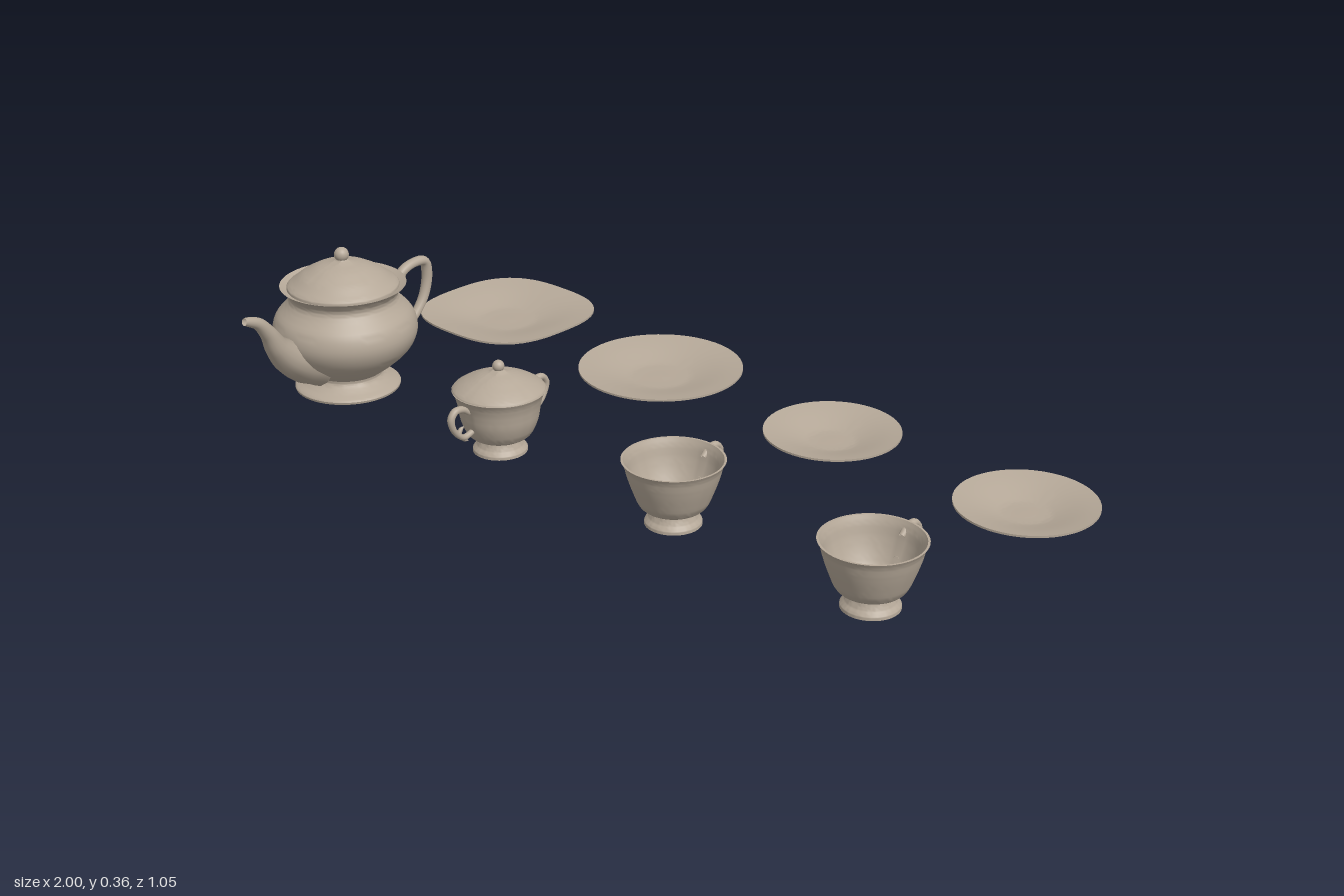
import * as THREE from 'three';
import { toCreasedNormals } from 'three/addons/utils/BufferGeometryUtils.js';

const china = new THREE.MeshStandardMaterial({ color: 0xb5a898, side: THREE.DoubleSide });
china.name = 'warm china';

function part(name, geometry) {
  const mesh = new THREE.Mesh(geometry, china);
  mesh.name = name;
  return mesh;
}

// Turned shape: each section is a smooth curve of [radius, y]; sections meet at sharp edges.
function turned(sections, reshape) {
  const points = [];
  sections.forEach((section, i) => {
    const v = section.map(([r, y]) => new THREE.Vector2(r, y));
    const curve = v.length > 2 ? new THREE.SplineCurve(v).getPoints((v.length - 1) * 4) : v;
    points.push(...(i ? curve.slice(1) : curve));
  });
  points.forEach((p) => { p.x = Math.max(p.x, 0); });
  const geometry = new THREE.LatheGeometry(points, 64);
  if (reshape) reshape(geometry.attributes.position);
  return toCreasedNormals(geometry, 0.6);
}

// Tapered tube in the x = 0 plane through [z, y, radius] points.
function swept(points, width = 1) {
  const curve = new THREE.CatmullRomCurve3(points.map(([z, y]) => new THREE.Vector3(0, y, z)));
  const steps = points.length * 7, sides = 16;
  const geometry = new THREE.TubeGeometry(curve, steps, 1, sides);
  const pos = geometry.attributes.position;
  const v = new THREE.Vector3();
  for (let i = 0; i <= steps; i++) {
    const u = i / steps, centre = curve.getPointAt(u);
    const t = curve.getUtoTmapping(u) * (points.length - 1);
    const k = Math.min(Math.floor(t), points.length - 2);
    const radius = THREE.MathUtils.lerp(points[k][2], points[k + 1][2], t - k);
    for (let j = 0; j <= sides; j++) {
      const n = i * (sides + 1) + j;
      v.fromBufferAttribute(pos, n).sub(centre).multiplyScalar(radius);
      v.x *= width;
      v.add(centre);
      pos.setXYZ(n, v.x, v.y, v.z);
    }
  }
  return geometry;
}

function knob(radius, y) {
  const geometry = new THREE.SphereGeometry(radius, 24, 16);
  geometry.translate(0, y, 0);
  return part('lidKnob', geometry);
}

// Looped handle with a small spur, on the +z or -z side
function smallHandle(side) {
  const group = new THREE.Group();
  group.name = 'handle';
  const loop = [[0.095, 0.128, 0.006], [0.115, 0.142, 0.008], [0.137, 0.144, 0.008], [0.15, 0.128, 0.008],
    [0.145, 0.103, 0.007], [0.13, 0.083, 0.007], [0.112, 0.072, 0.007], [0.08, 0.08, 0.006]];
  const spur = [[0.13, 0.083, 0.007], [0.121, 0.095, 0.005], [0.112, 0.099, 0.001]];
  const tail = [[0.12, 0.076, 0.007], [0.11, 0.066, 0.005], [0.1, 0.06, 0.001]];
  group.add(part('handleLoop', swept(loop, 1.2)), part('handleSpur', swept(spur)), part('handleTail', swept(tail)));
  group.rotation.y = side > 0 ? 0 : Math.PI;
  return group;
}

function teapot() {
  const group = new THREE.Group();
  group.name = 'teapot';
  group.add(part('teapotBody', turned([
    [[0, 0.004], [0.128, 0.004]],
    [[0.128, 0.004], [0.128, 0.012], [0.108, 0.022], [0.089, 0.036], [0.088, 0.047]],
    [[0.088, 0.047], [0.125, 0.075], [0.16, 0.11], [0.176, 0.15], [0.168, 0.19], [0.143, 0.22], [0.132, 0.238], [0.137, 0.255], [0.153, 0.27]],
    [[0.153, 0.27], [0.137, 0.262]],
    [[0.137, 0.262], [0.12, 0.255]],
  ])));
  group.add(part('teapotLid', turned([
    [[0.12, 0.258], [0.136, 0.263]],
    [[0.136, 0.263], [0.134, 0.27], [0.118, 0.282], [0.1, 0.296], [0.086, 0.304]],
    [[0.086, 0.304], [0.06, 0.317], [0.03, 0.325], [0.015, 0.331], [0.011, 0.338], [0, 0.342]],
  ])));
  group.add(knob(0.018, 0.344));
  group.add(part('spout', swept([[0.1, 0.11, 0.075], [0.135, 0.115, 0.062], [0.175, 0.132, 0.045], [0.21, 0.166, 0.03],
    [0.235, 0.21, 0.02], [0.262, 0.242, 0.015], [0.293, 0.256, 0.011], [0.301, 0.258, 0.009]])));
  group.add(part('teapotHandle', swept([[-0.14, 0.205, 0.009], [-0.17, 0.218, 0.011], [-0.188, 0.245, 0.011], [-0.222, 0.258, 0.011],
    [-0.262, 0.254, 0.012], [-0.27, 0.217, 0.012], [-0.255, 0.16, 0.011], [-0.22, 0.116, 0.01],
    [-0.186, 0.092, 0.01], [-0.15, 0.105, 0.009]], 1.3)));
  // Scrolled ends of the handle
  group.add(part('handleSpur', swept([[-0.19, 0.245, 0.01], [-0.18, 0.208, 0.009], [-0.165, 0.194, 0.002]])));
  group.add(part('handleTail', swept([[-0.225, 0.12, 0.01], [-0.192, 0.09, 0.009], [-0.174, 0.064, 0.002]])));
  group.add(part('handleThorn', swept([[-0.23, 0.125, 0.009], [-0.21, 0.134, 0.006], [-0.198, 0.148, 0.001]])));
  return group;
}

// Footed bowl shared by the cups and the sugar bowl
function bowl(name, rim) {
  return part(name, turned([
    [[0, 0.004], [0.064, 0.004]],
    [[0.064, 0.004], [0.063, 0.012], [0.054, 0.022], [0.049, 0.035]],
    [[0.049, 0.035], [0.074, 0.05], [0.09, 0.085], [rim - 0.013, 0.12], [rim - 0.007, 0.143], [rim, 0.157]],
    [[rim, 0.157], [rim - 0.005, 0.157]],
    [[rim - 0.005, 0.157], [rim - 0.013, 0.14], [rim - 0.02, 0.115], [0.083, 0.085], [0.066, 0.058], [0.04, 0.047], [0, 0.045]],
  ]));
}

function cup(name) {
  const group = new THREE.Group();
  group.name = name;
  group.add(bowl('cupBowl', 0.115), smallHandle(-1));
  return group;
}

function sugarBowl() {
  const group = new THREE.Group();
  group.name = 'sugarBowl';
  group.add(bowl('sugarBody', 0.109), smallHandle(1), smallHandle(-1));
  group.add(part('sugarLid', turned([
    [[0.09, 0.152], [0.108, 0.158]],
    [[0.108, 0.158], [0.104, 0.163], [0.085, 0.175], [0.066, 0.184]],
    [[0.066, 0.184], [0.045, 0.193], [0.02, 0.2], [0.009, 0.206], [0, 0.208]],
  ])));
  group.add(knob(0.014, 0.214));
  return group;
}

// Shallow plate; a higher power squares its outline
function plate(name, radius, foot, power = 2) {
  const reshape = (pos) => {
    for (let i = 0; i < pos.count; i++) {
      const x = pos.getX(i), z = pos.getZ(i), r = Math.hypot(x, z);
      if (r < 1e-6) continue;
      const full = Math.pow(Math.abs(x / r) ** power + Math.abs(z / r) ** power, -1 / power);
      const s = 1 + (full - 1) * Math.min(1, r / radius);
      pos.setX(i, x * s);
      pos.setZ(i, z * s);
    }
  };
  return part(name, turned([
    [[0, 0.004], [foot, 0.004]],
    [[foot, 0.004], [radius, 0.035]],
    [[radius, 0.035], [radius, 0.04]],
    [[radius, 0.04], [radius * 0.75, 0.031], [foot * 1.15, 0.015], [foot * 0.8, 0.012], [0, 0.012]],
  ], reshape));
}

export function createModel() {
  const set = new THREE.Group();
  set.name = 'teaSet';
  const place = (object, x, z) => {
    object.position.set(x, 0, z);
    set.add(object);
  };
  place(teapot(), -0.797, 0.221);
  place(sugarBowl(), -0.253, 0.224);
  place(cup('leftCupInner'), 0.291, 0.224);
  place(cup('leftCupOuter'), 0.836, 0.224);
  place(plate('squarePlate', 0.204, 0.075, 2.8), -0.797, -0.323);
  place(plate('roundPlate', 0.203, 0.075), -0.253, -0.323);
  place(plate('saucerInner', 0.162, 0.057), 0.291, -0.323);
  place(plate('saucerOuter', 0.162, 0.057), 0.836, -0.323);
  return set;
}
